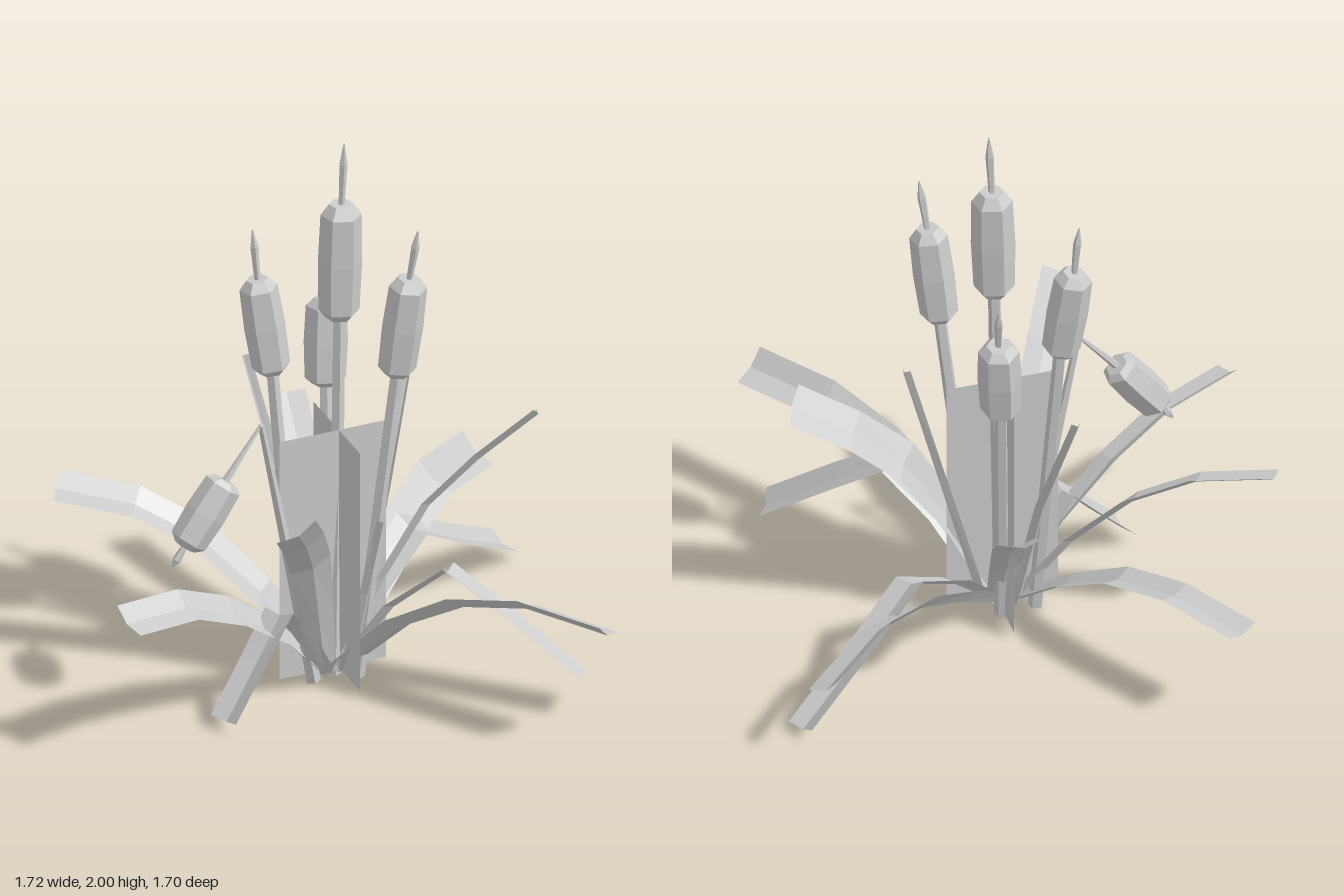
import * as THREE from 'three';

const V = (p) => new THREE.Vector3(...p);
const UP = new THREE.Vector3(0, 1, 0);

export function createModel() {
  const group = new THREE.Group();
  const grey = new THREE.MeshStandardMaterial({ color: 0xcccccc, flatShading: true, side: THREE.DoubleSide });
  grey.name = 'plain grey';

  const add = (geo, name) => {
    const mesh = new THREE.Mesh(geo, grey);
    mesh.name = name;
    group.add(mesh);
    return mesh;
  };

  // Place a geometry that runs along +y from `from` towards `to`
  const along = (geo, from, to, name) => {
    const mesh = add(geo, name);
    mesh.position.copy(from);
    mesh.quaternion.setFromUnitVectors(UP, to.clone().sub(from).normalize());
  };

  // Tapered stick between two points
  const stick = (a, b, r0, r1, name) => {
    const len = a.distanceTo(b);
    along(new THREE.CylinderGeometry(r1, r0, len, 5).translate(0, len / 2, 0), a, b, name);
  };

  // Six-sided seed head with bevelled ends
  const seedHead = (a, b, r) => {
    const len = a.distanceTo(b);
    const profile = [[0, 0], [0.6, 0], [0.93, 0.07], [1, 0.5], [0.93, 0.91], [0.55, 1], [0, 1]]
      .map(([x, y]) => new THREE.Vector2(x * r, y * len));
    along(new THREE.LatheGeometry(profile, 6, 0.35), a, b, 'seedHead');
  };

  // Seed head and pointed spike
  const head = (head0, head1, tip, r) => {
    seedHead(V(head0), V(head1), r);
    const a = V(head1), b = V(tip), mid = a.clone().lerp(b, 0.65);
    stick(a, mid, 0.011, 0.015, 'spike');
    stick(mid, b, 0.015, 0.002, 'spikeTip');
  };

  const cattail = (base, head0, head1, tip, r) => {
    stick(V(base), V(head0), 0.026, 0.022, 'stem');
    head(head0, head1, tip, r);
  };

  // Leaf: a creased strip swept along a few points, rolled about its own path
  const leaf = (pts, w0, w1, depth, roll, name) => {
    const last = pts.length - 1;
    const level = new THREE.Vector3().subVectors(pts[last], pts[0]).cross(UP).normalize();
    const pos = [], index = [];
    pts.forEach((p, i) => {
      const tangent = pts[Math.min(i + 1, last)].clone().sub(pts[Math.max(i - 1, 0)]).normalize();
      const upward = level.clone().cross(tangent).normalize();
      const side = level.clone().addScaledVector(upward, roll);
      const normal = side.clone().cross(tangent).normalize();
      const half = THREE.MathUtils.lerp(w0, w1, Math.min(1, i / 2)) / 2;
      for (const s of [-1, 0, 1]) {
        const q = p.clone().addScaledVector(side, s * half).addScaledVector(normal, (s ? 0.5 : -0.5) * depth);
        pos.push(q.x, Math.max(q.y, 0.01), q.z);
      }
      if (i < last) for (const k of [0, 1]) {
        const a = i * 3 + k;
        index.push(a, a + 1, a + 4, a, a + 4, a + 3);
      }
    });
    const geo = new THREE.BufferGeometry();
    geo.setAttribute('position', new THREE.Float32BufferAttribute(pos, 3));
    geo.setIndex(index);
    geo.computeVertexNormals();
    add(geo, name);
  };

  // Upright cattails, tallest first
  cattail([0.04, 0, 0], [0.07, 1.34, -0.04], [0.08, 1.77, -0.045], [0.09, 2, -0.045], 0.075);
  cattail([-0.07, 0, -0.04], [-0.14, 1.12, -0.12], [-0.185, 1.47, -0.145], [-0.2, 1.66, -0.15], 0.07);
  cattail([0.11, 0, 0.04], [0.235, 1.16, 0.08], [0.275, 1.53, 0.1], [0.3, 1.72, 0.12], 0.07);
  cattail([0.05, 0, -0.07], [0.08, 0.98, -0.235], [0.095, 1.29, -0.27], [0.1, 1.46, -0.31], 0.075);

  // Broken cattail: upright stem, thin folded neck and drooping head
  const bend = [-0.235, 1.03, 0.07], droop = [-0.37, 0.86, 0.11];
  stick(V([-0.04, 0, 0.03]), V(bend), 0.026, 0.012, 'brokenStem');
  stick(V(bend), V(droop), 0.006, 0.014, 'brokenNeck');
  head(droop, [-0.525, 0.65, 0.145], [-0.57, 0.58, 0.15], 0.07);

  // Broad leaves run straight out in plan: roll, tip x, tip z, then heights along the arch
  const steps = [0.22, 0.45, 0.7, 1];
  const broadLeaf = (roll, x, z, ...heights) => {
    const root = new THREE.Vector3(x > 0 ? 0.05 : 0, 0.02, 0.02 * Math.sign(z));
    const tip = new THREE.Vector3(x, 0, z);
    const arch = steps.map((t, i) => root.clone().lerp(tip, t).setY(heights[i]));
    leaf([root, ...arch], 0.085, 0.125, 0.018, roll, 'leaf');
  };
  broadLeaf(0.7, 0.745, 0.02, 0.35, 0.61, 0.76, 0.9);
  broadLeaf(0.6, 0.76, 0.81, 0.26, 0.41, 0.48, 0.47);
  broadLeaf(-0.75, 0.775, -0.79, 0.17, 0.3, 0.37, 0.32);
  broadLeaf(-0.35, 0.825, -0.63, 0.22, 0.35, 0.2, 0.04);
  broadLeaf(0.3, 0.765, 0.49, 0.3, 0.47, 0.32, 0.13);
  broadLeaf(-0.15, -0.425, 0.285, 0.2, 0.34, 0.2, 0.04);
  broadLeaf(0.5, -0.805, 0.42, 0.24, 0.4, 0.51, 0.55);
  broadLeaf(0.43, -0.83, -0.34, 0.3, 0.5, 0.62, 0.67);
  broadLeaf(0, -0.645, -0.81, 0.2, 0.34, 0.4, 0.39);
  broadLeaf(-0.7, -0.265, 0.6, 0.3, 0.58, 0.75, 0.9);
  broadLeaf(-0.1, 0.07, -0.65, 0.25, 0.45, 0.59, 0.73);

  // Narrow upright blades, bent slightly at the middle
  const blade = (...path) => leaf(path.map(V), 0.05, 0.035, 0.018, 0, 'narrowBlade');
  blade([0.11, 0.02, -0.02], [0.27, 0.65, -0.13], [0.41, 1.21, -0.25]);
  blade([0, 0.02, -0.05], [-0.06, 0.55, -0.22], [-0.15, 1.03, -0.41]);
  blade([0.09, 0.02, 0.04], [0.12, 0.35, 0.11], [0.15, 0.67, 0.2]);

  // Crossed upright sheets filling the middle of the clump
  for (const [turn, x, z] of [[0, 0.035, 0.005], [Math.PI / 2, 0.055, -0.015]]) {
    const sheet = add(new THREE.PlaneGeometry(0.39, 0.91), 'reedSheet');
    sheet.position.set(x, 0.475, z);
    sheet.rotation.y = turn + 0.12;
  }
  return group;
}
